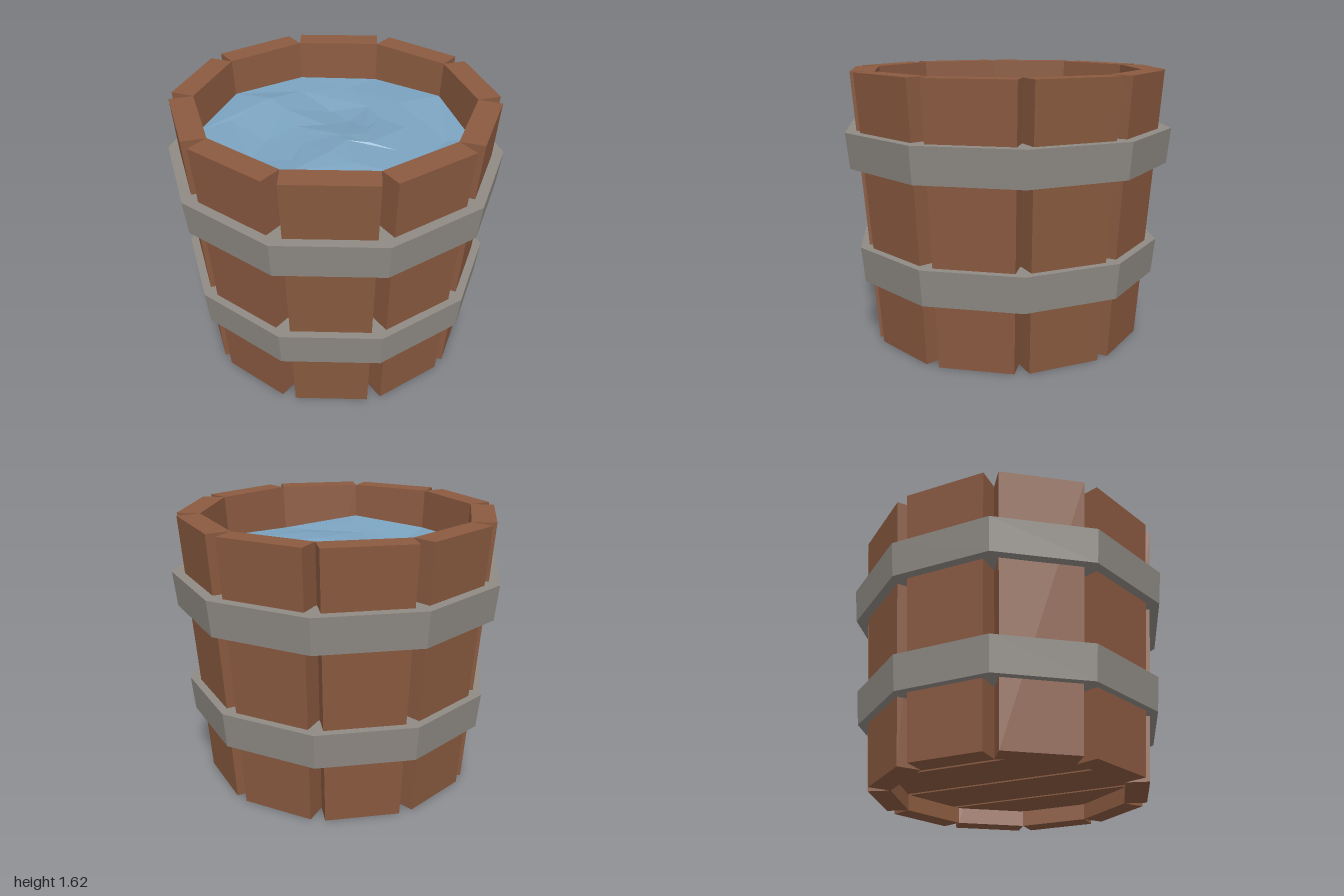
import * as THREE from 'three';

const SIDES = 10, H = 1.62, STEP = (Math.PI * 2) / SIDES;
const COS = Math.cos(STEP / 2), TAN = Math.tan(STEP / 2);

const material = (color, side = THREE.FrontSide) =>
  new THREE.MeshStandardMaterial({ color, flatShading: true, side });

// distance from the axis to the inner face of the staves at height y
const innerAt = (y) => 0.665 + 0.11 * (y / H);
const outerAt = (y) => 0.8 + 0.115 * (y / H);

function mesh(name, geometry, mat) {
  const g = geometry.index ? geometry.toNonIndexed() : geometry;
  g.computeVertexNormals();
  const m = new THREE.Mesh(g, mat);
  m.name = name;
  return m;
}

// leaning, tapered plank facing +x
function staveGeometry() {
  const g = new THREE.BoxGeometry(1, H, 1).translate(0, H / 2, 0);
  const p = g.attributes.position;
  for (let i = 0; i < p.count; i++) {
    const y = p.getY(i);
    p.setX(i, p.getX(i) > 0 ? outerAt(y) : innerAt(y));
    p.setZ(i, Math.sign(p.getZ(i)) * innerAt(y) * TAN);
  }
  return g;
}

// ten-sided hoop that reaches in through the gaps between staves
function hoopGeometry(y0, y1, a0, a1) {
  const profile = [
    [a0, y0], [a1, y1], [innerAt(y1) + 0.01, y1], [innerAt(y0) + 0.01, y0], [a0, y0],
  ].map(([a, y]) => new THREE.Vector2(a / COS, y));
  return new THREE.LatheGeometry(profile, SIDES);
}

// rippled low-poly surface made of concentric rings
function waterGeometry(level, radius, rings) {
  const pos = [], index = [];
  const ripple = (x, z) => 0.022 * Math.sin(7 * x + 3 * z) + 0.018 * Math.sin(8 * z - 4 * x + 1);
  const add = (x, z) => pos.push(x, level + ripple(x, z), z);
  add(0.04, 0.02);
  for (let k = 1; k <= rings; k++) {
    for (let i = 0; i < SIDES; i++) {
      const inside = k < rings ? 1 : 0;
      const a = i * STEP + inside * 0.22 * Math.sin(i * 5.3 + k * 2.1);
      const r = radius * (k / rings + inside * 0.07 * Math.sin(i * 3.7 + k));
      add(r * Math.sin(a), r * Math.cos(a));
    }
  }
  const at = (k, i) => 1 + (k - 1) * SIDES + (i % SIDES);
  for (let i = 0; i < SIDES; i++) {
    index.push(0, at(1, i), at(1, i + 1));
    for (let k = 1; k < rings; k++) {
      index.push(at(k, i), at(k + 1, i), at(k + 1, i + 1));
      index.push(at(k, i), at(k + 1, i + 1), at(k, i + 1));
    }
  }
  const g = new THREE.BufferGeometry();
  g.setAttribute('position', new THREE.Float32BufferAttribute(pos, 3));
  g.setIndex(index);
  return g;
}

// floor board running along z, its ends cut to the ten-sided outline
function boardGeometry(x0, x1, y0, y1, radius) {
  const corners = [];
  for (let i = 0; i <= SIDES / 2; i++) {
    const a = (i - SIDES / 4) * STEP;
    corners.push([radius * Math.sin(a), radius * Math.cos(a)]);
  }
  const halfLength = (x) => {
    const i = Math.max(1, corners.findIndex((c) => c[0] >= x));
    const [ax, az] = corners[i - 1], [bx, bz] = corners[i];
    return az + ((bz - az) * (x - ax)) / (bx - ax);
  };
  const xs = [x0, ...corners.map((c) => c[0]).filter((x) => x > x0 + 1e-3 && x < x1 - 1e-3), x1];
  const lower = xs.map((x) => new THREE.Vector2(x, -halfLength(x)));
  const upper = xs.map((x) => new THREE.Vector2(x, halfLength(x))).reverse();
  const g = new THREE.ExtrudeGeometry(new THREE.Shape([...lower, ...upper]), {
    depth: y1 - y0, bevelEnabled: false,
  });
  return g.rotateX(-Math.PI / 2).translate(0, y0, 0);
}

export function createModel() {
  const model = new THREE.Group();
  model.name = 'waterBucket';
  const wood = material(0x8a5a40);
  const metal = material(0x8f8a84);
  const blue = material(0x7ba3c0, THREE.DoubleSide);

  // ring of staves
  const staves = new THREE.Group();
  staves.name = 'staves';
  for (let i = 0; i < SIDES; i++) {
    const stave = mesh('stave', staveGeometry(), wood);
    stave.rotation.y = i * STEP;
    staves.add(stave);
  }
  model.add(staves);

  // metal hoops
  model.add(mesh('lowerHoop', hoopGeometry(0.385, 0.595, 0.87, 0.89), metal));
  model.add(mesh('upperHoop', hoopGeometry(1.07, 1.28, 0.93, 0.951), metal));

  // floor boards with narrow gaps
  const floor = new THREE.Group();
  floor.name = 'floor';
  const edges = [-0.69, -0.38, 0, 0.38, 0.69];
  for (let i = 0; i < 4; i++) {
    const x0 = edges[i] + (i > 0 ? 0.012 : 0);
    const x1 = edges[i + 1] - (i < 3 ? 0.012 : 0);
    floor.add(mesh('floorBoard', boardGeometry(x0, x1, 0.1, 0.19, 0.735), wood));
  }
  model.add(floor);

  // water
  model.add(mesh('water', waterGeometry(1.38, 0.797, 4), blue));
  return model;
}
